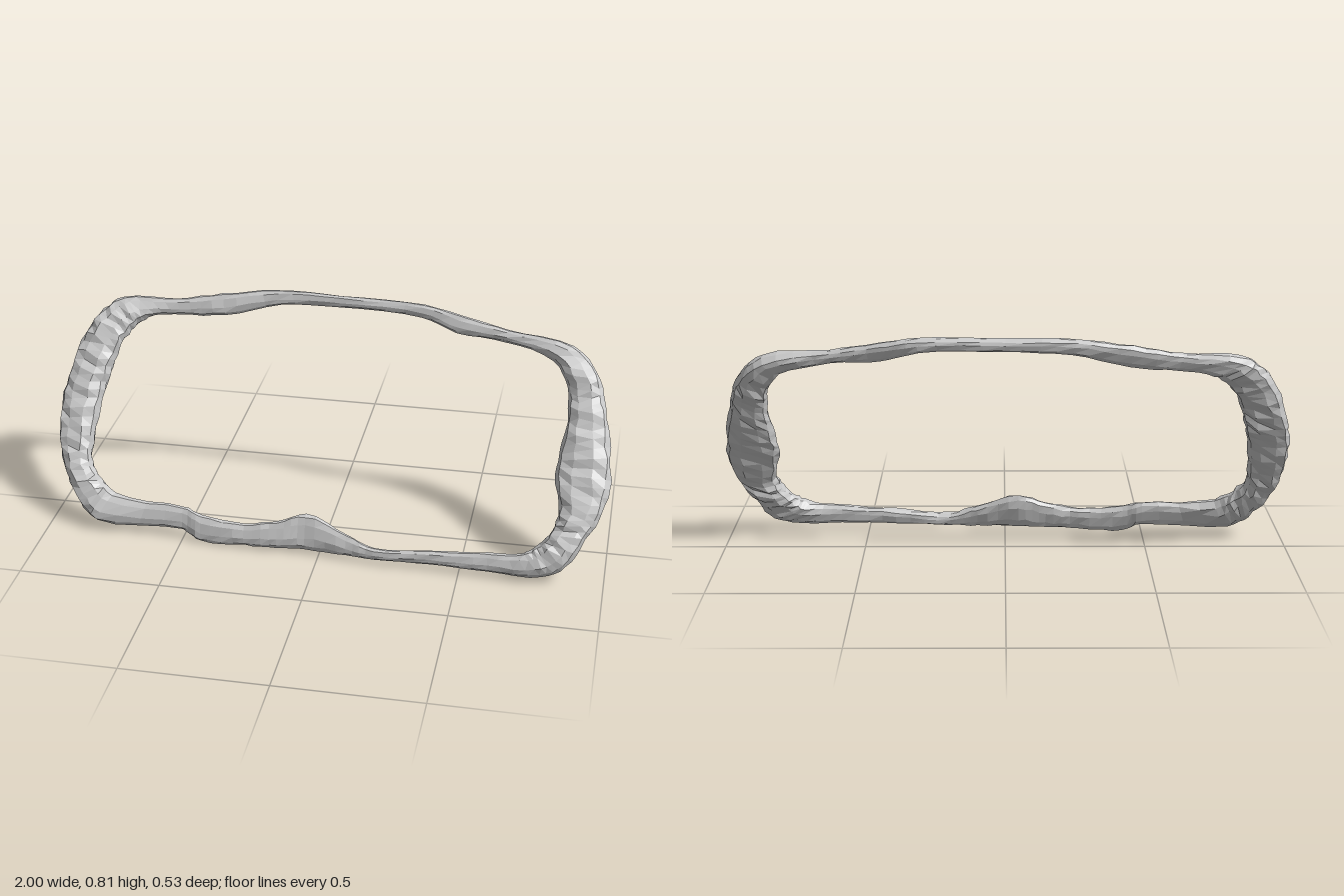
import * as THREE from 'three';

// Stations clockwise from the top middle: outer x, outer y, inner x, inner y
const STATIONS = [
  [0, .808, 0, .768], [.3, .805, .29, .76], [.43, .785, .42, .725], [.6, .755, .59, .715],
  [.83, .725, .765, .675], [.92, .65, .82, .6], [.95, .57, .83, .52], [.975, .47, .815, .42],
  [.995, .34, .805, .34], [.975, .24, .825, .22], [.93, .16, .8, .16], [.87, .07, .76, .12],
  [.79, .03, .72, .1], [.6, .025, .6, .09], [.4, .025, .4, .075], [.2, .02, .2, .06],
  [.1, .02, .1, .095], [-.05, .02, -.05, .143], [-.15, .015, -.15, .112], [-.27, .012, -.27, .09],
  [-.43, .007, -.43, .1], [-.5, .035, -.5, .12], [-.82, .035, -.76, .13], [-.89, .09, -.82, .17],
  [-.95, .17, -.86, .22], [-.99, .28, -.86, .3], [-.995, .4, -.845, .42], [-.975, .5, -.82, .52],
  [-.93, .62, -.79, .6], [-.87, .7, -.75, .65], [-.8, .742, -.7, .685], [-.6, .755, -.58, .7],
  [-.43, .783, -.42, .71], [-.24, .808, -.22, .757],
];
const N = STATIONS.length, STEPS = 4, SIDES = 10, RINGS = N * STEPS;

// The loop lies in a leaning, slightly turned plane; its top rail bows backward
function onPlane(x, y) {
  const bow = .014 * THREE.MathUtils.smoothstep(y, .7, .78);
  return new THREE.Vector3(x, y, .045 * x - .58 * (y - .4) - bow);
}

// Seeded noise for the rough surface
function makeNoise(seed) {
  return () => {
    seed = (seed * 16807) % 2147483647;
    return seed / 2147483647 - .5;
  };
}

// Cross-sections: thin and more upright on the rails, thick and leaning on the uprights
function makeRings() {
  const outer = new THREE.CatmullRomCurve3(STATIONS.map(s => onPlane(s[0], s[1])), true);
  const inner = new THREE.CatmullRomCurve3(STATIONS.map(s => onPlane(s[2], s[3])), true);
  const normal = new THREE.Vector3(-.045, .58, 1).normalize();
  const noise = makeNoise(71);
  const soften = v => Math.sign(v) * Math.abs(v) ** .8;
  const rings = [];
  for (let i = 0; i < RINGS; i++) {
    const o = outer.getPoint(i / RINGS), n = inner.getPoint(i / RINGS);
    const centre = o.clone().add(n).multiplyScalar(.5);
    const across = o.clone().sub(n).multiplyScalar(.5);
    const side = THREE.MathUtils.smoothstep(Math.abs(centre.x), .6, .88);
    across.z *= .45 + .55 * side;
    const half = .019 + .026 * side;
    const rough = .005 + .009 * side;
    const ring = [];
    for (let j = 0; j < SIDES; j++) {
      const a = j / SIDES * Math.PI * 2;
      ring.push(centre.clone()
        .addScaledVector(across, soften(Math.cos(a)) + noise() * .12)
        .addScaledVector(normal, half * soften(Math.sin(a)) + noise() * rough));
    }
    rings.push(ring);
  }
  return rings;
}

// Skin between two stations
function makePart(name, rings, from, to, material) {
  const positions = [], index = [];
  const count = (to - from) * STEPS;
  for (let i = 0; i <= count; i++) {
    for (const p of rings[(from * STEPS + i) % RINGS]) positions.push(p.x, p.y, p.z);
  }
  for (let i = 0; i < count; i++) {
    for (let j = 0; j < SIDES; j++) {
      const k = (j + 1) % SIDES;
      const a = i * SIDES + j, b = a + SIDES, c = i * SIDES + k, d = c + SIDES;
      index.push(a, c, b, b, c, d);
    }
  }
  const geometry = new THREE.BufferGeometry();
  geometry.setAttribute('position', new THREE.Float32BufferAttribute(positions, 3));
  geometry.setIndex(index);
  geometry.computeVertexNormals();
  const mesh = new THREE.Mesh(geometry, material);
  mesh.name = name;
  return mesh;
}

export function createModel() {
  const model = new THREE.Group();
  model.name = 'leaningFrame';
  const material = new THREE.MeshStandardMaterial({ color: 0xcccccc, flatShading: true });
  const rings = makeRings();
  model.add(
    makePart('leftUpright', rings, 4, 12, material),
    makePart('bottomRail', rings, 12, 22, material),
    makePart('rightUpright', rings, 22, 30, material),
    makePart('topRail', rings, 30, N + 4, material),
  );
  return model;
}
